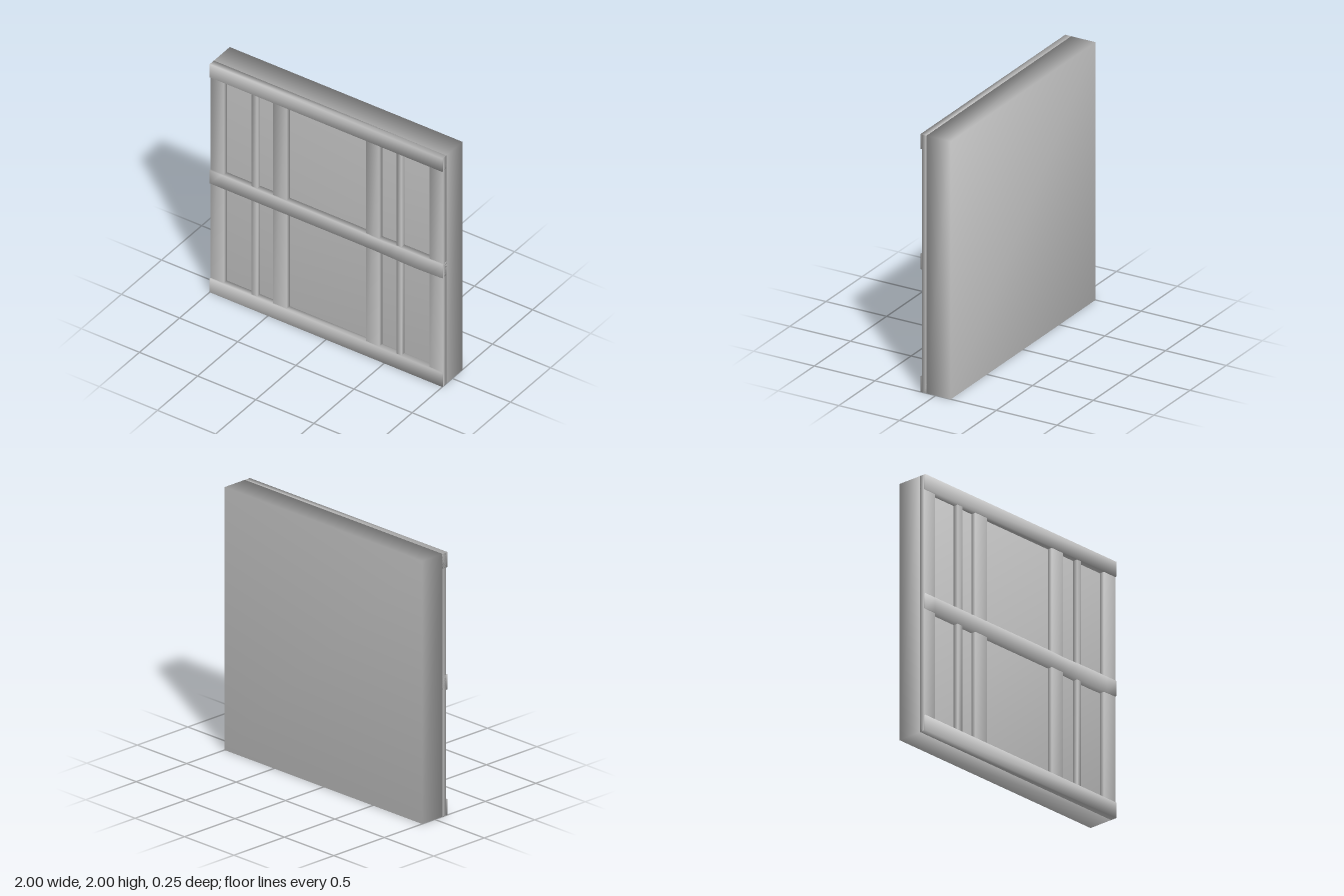
import * as THREE from 'three';
import { mergeVertices } from 'three/addons/utils/BufferGeometryUtils.js';

const material = new THREE.MeshStandardMaterial({ color: 0xcccccc });

// Box given by its limits, with corners welded for soft shading; warp may shift vertices
function softBox(name, [x0, x1], [y0, y1], [z0, z1], segments = 1, warp = null) {
  let geo = new THREE.BoxGeometry(x1 - x0, y1 - y0, z1 - z0, segments, 1, 1);
  geo.translate((x0 + x1) / 2, (y0 + y1) / 2, (z0 + z1) / 2);
  geo.deleteAttribute('normal');
  geo.deleteAttribute('uv');
  geo = mergeVertices(geo);
  if (warp) {
    const p = geo.attributes.position;
    const middle = (y0 + y1) / 2;
    for (let i = 0; i < p.count; i++) {
      p.setY(i, p.getY(i) + warp(p.getX(i), p.getY(i) > middle));
    }
  }
  geo.computeVertexNormals();
  const mesh = new THREE.Mesh(geo, material);
  mesh.name = name;
  return mesh;
}

export function createModel() {
  const group = new THREE.Group();
  group.name = 'timberFramedWall';

  // Thick wall slab
  group.add(softBox('wallPanel', [-1, 1], [0, 2], [-0.125, 0.075]));

  // Upright timbers on the front face: outer posts, thin studs, inner posts
  const posts = [
    ['rightOuterPost', -1, -0.885],
    ['rightStud', -0.65, -0.6],
    ['rightInnerPost', -0.465, -0.345],
    ['leftInnerPost', 0.335, 0.45],
    ['leftStud', 0.6, 0.64],
    ['leftOuterPost', 0.88, 1],
  ];
  for (const [name, x0, x1] of posts) {
    group.add(softBox(name, [x0, x1], [0.002, 1.998], [0.073, 0.113]));
  }

  // Horizontal rails, standing slightly proud of the uprights
  const railDepth = [0.073, 0.125];
  group.add(softBox('bottomRail', [-1, 1], [0, 0.12], railDepth));
  group.add(softBox('topRail', [-1, 1], [1.885, 2], railDepth));

  // Middle rail with a slight natural sag toward one end
  const sag = (x, isTop) => isTop
    ? -0.006 * Math.exp(-(((x - 0.45) / 0.12) ** 2))
    : -0.01 * Math.exp(-(((x - 0.75) / 0.22) ** 2));
  group.add(softBox('middleRail', [-1, 1], [0.955, 1.07], railDepth, 20, sag));

  return group;
}
